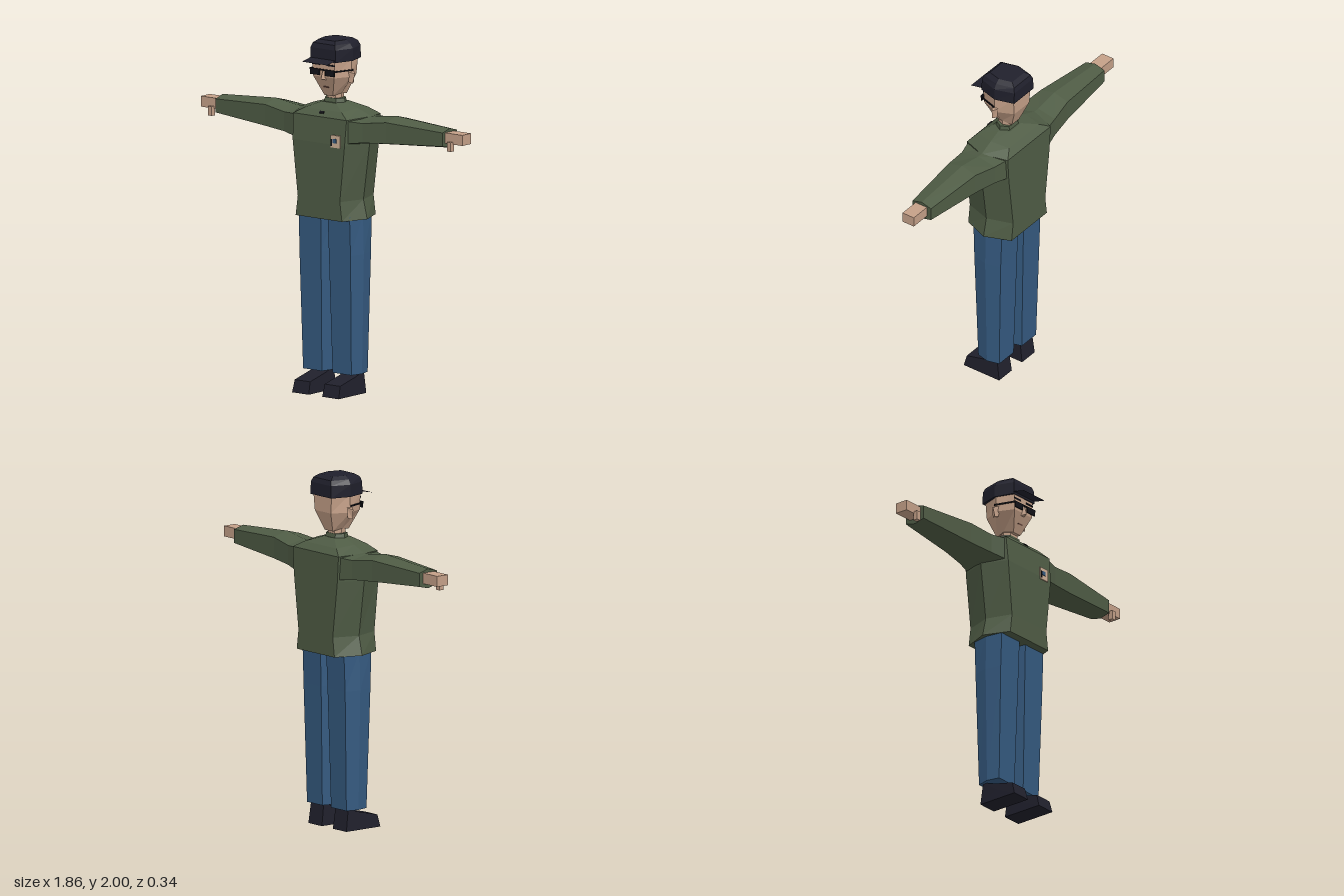
import * as THREE from 'three';

const mat = (name, color) => {
  const m = new THREE.MeshStandardMaterial({ color });
  m.name = name;
  return m;
};

// Closed faceted solid through a list of rings with equal point counts
function loft(rings) {
  const tris = [];
  const n = rings[0].length;
  const centre = (r) => r.reduce((c, p) => c.map((v, i) => v + p[i] / n), [0, 0, 0]);
  const first = rings[0], last = rings[rings.length - 1];
  const c0 = centre(first), c1 = centre(last);
  for (let i = 0; i < n; i++) {
    const j = (i + 1) % n;
    tris.push([c0, first[j], first[i]], [c1, last[i], last[j]]);
    for (let k = 0; k + 1 < rings.length; k++) {
      const a = rings[k], b = rings[k + 1];
      tris.push([a[i], a[j], b[j]], [a[i], b[j], b[i]]);
    }
  }
  // Turn every face outward, whichever way the rings run
  let volume = 0;
  for (const [a, b, c] of tris) {
    volume += new THREE.Vector3(...a).dot(new THREE.Vector3(...b).cross(new THREE.Vector3(...c)));
  }
  if (volume < 0) tris.forEach((t) => t.reverse());
  const geo = new THREE.BufferGeometry();
  geo.setAttribute('position', new THREE.Float32BufferAttribute(tris.flat(2), 3));
  geo.computeVertexNormals();
  return geo;
}

// Horizontal hexagon: flat front and back, a corner on each side
function hex(y, zFront, zBack, wFront, wSide, wBack, x = 0, ySide = y) {
  const zm = (zFront + zBack) / 2;
  return [
    [x + wFront, y, zFront], [x + wSide, ySide, zm], [x + wBack, y, zBack],
    [x - wBack, y, zBack], [x - wSide, ySide, zm], [x - wFront, y, zFront],
  ];
}

export function createModel() {
  const root = new THREE.Group();
  root.name = 'standingMan';
  const green = mat('sweaterGreen', 0x4f5c45);
  const denim = mat('denimBlue', 0x355a80);
  const skin = mat('skin', 0xc4a088);
  const navy = mat('darkNavy', 0x20202c);
  const black = mat('black', 0x121218);
  const beige = mat('patchBeige', 0xcdb096);
  const lip = mat('lipBrown', 0x6b4a40);
  const visorMat = mat('visorNavy', 0x20202c);
  visorMat.side = THREE.DoubleSide;

  const add = (name, geo, material) => {
    const m = new THREE.Mesh(geo, material);
    m.name = name;
    root.add(m);
    return m;
  };
  const box = (name, material, size, pos) => {
    const m = add(name, new THREE.BoxGeometry(...size), material);
    m.position.set(...pos);
    return m;
  };

  // Sweater body and collar
  add('sweaterBody', loft([
    hex(1.0, 0.13, -0.17, 0.165, 0.225, 0.165),
    hex(1.11, 0.13, -0.17, 0.15, 0.198, 0.15),
    hex(1.43, 0.132, -0.17, 0.185, 0.243, 0.19),
    hex(1.575, 0.12, -0.17, 0.19, 0.25, 0.2, 0, 1.585),
    hex(1.61, 0.09, -0.135, 0.13, 0.16, 0.14, 0, 1.62),
    hex(1.645, 0.04, -0.075, 0.05, 0.075, 0.05),
  ]), green);
  add('collar', loft([
    hex(1.62, 0.035, -0.07, 0.045, 0.075, 0.045),
    hex(1.668, 0.025, -0.06, 0.04, 0.066, 0.04),
  ]), green);

  // Collar button and plain chest patch
  box('collarButton', black, [0.03, 0.014, 0.008], [0, 1.597, 0.103]).rotation.x = -0.7;
  box('chestPatch', beige, [0.066, 0.07, 0.008], [0.123, 1.45, 0.134]);
  box('patchCentre', denim, [0.026, 0.024, 0.004], [0.118, 1.453, 0.139]);
  box('patchEdge', black, [0.008, 0.04, 0.004], [0.098, 1.443, 0.139]);

  for (const s of [1, -1]) {
    const side = s > 0 ? 'left' : 'right';

    // Sleeve: x, top ridge, upper edge, lower edge, bottom ridge, front, back
    const sleeve = [
      [0.17, 1.585, 1.57, 1.44, 1.43, 0.118, -0.165],
      [0.28, 1.588, 1.565, 1.455, 1.435, 0.09, -0.14],
      [0.43, 1.61, 1.585, 1.465, 1.447, 0.07, -0.117],
      [0.81, 1.585, 1.567, 1.49, 1.475, 0.038, -0.09],
    ].map(([x, t, u, l, b, f, k]) => {
      const m = (f + k) / 2;
      return [[t, m], [u, f], [l, f], [b, m], [l, k], [u, k]].map(([y, z]) => [s * x, y, z]);
    });
    add(side + 'Sleeve', loft(sleeve), green);

    // Hand and thumb
    box(side + 'Hand', skin, [0.14, 0.06, 0.078], [s * 0.862, 1.535, -0.023]);
    box(side + 'Thumb', skin, [0.028, 0.052, 0.028], [s * 0.852, 1.492, 0.023]);

    // Trouser leg
    add(side + 'TrouserLeg', loft([
      hex(0.12, 0.055, -0.09, 0.067, 0.085, 0.067, s * 0.105),
      hex(0.8, 0.075, -0.107, 0.077, 0.099, 0.077, s * 0.105),
      hex(1.02, 0.082, -0.115, 0.078, 0.095, 0.078, s * 0.103),
    ]), denim);

    // Shoe: side profile, slightly wider at the sole
    const shoeProfile = [[0.16, 0], [0.142, 0.07], [0, 0.104], [-0.068, 0.13], [-0.085, 0]];
    add(side + 'Shoe', loft([-1, 1].map((e) => shoeProfile.map(
      ([z, y]) => [s * 0.107 + e * (y ? 0.055 : 0.059), y, z]))), navy);

    // Ear, brow, lens and glasses arm
    add(side + 'Ear', loft([
      [[0.105, 1.765, -0.005], [0.13, 1.758, -0.01], [0.118, 1.765, -0.035]],
      [[0.105, 1.825, 0.005], [0.142, 1.815, -0.015], [0.115, 1.825, -0.04]],
    ].map((r) => r.map(([x, y, z]) => [s * x, y, z]))), skin);
    box(side + 'Brow', black, [0.055, 0.009, 0.006], [s * 0.052, 1.865, 0.088]);
    box(side + 'Lens', black, [0.066, 0.034, 0.006], [s * 0.053, 1.822, 0.098]);
    const arm = box(side + 'GlassesArm', black, [0.006, 0.008, 0.125], [s * 0.107, 1.834, 0.04]);
    arm.rotation.y = -s * 0.3;
  }
  box('glassesBridge', black, [0.18, 0.008, 0.006], [0, 1.837, 0.098]);

  // Neck and head
  add('neck', loft([
    hex(1.62, 0.02, -0.055, 0.03, 0.044, 0.03),
    hex(1.72, 0.02, -0.06, 0.03, 0.044, 0.03),
  ]), skin);
  add('head', loft([
    hex(1.683, 0.042, -0.075, 0.03, 0.047, 0.035, 0, 1.695),
    hex(1.795, 0.087, -0.118, 0.075, 0.117, 0.07),
    hex(1.9, 0.088, -0.12, 0.08, 0.114, 0.08),
  ]), skin);
  add('nose', loft([
    [[-0.017, 1.778, 0.075], [0.017, 1.778, 0.075], [0, 1.785, 0.112]],
    [[-0.008, 1.835, 0.08], [0.008, 1.835, 0.08], [0, 1.835, 0.094]],
  ]), skin);
  box('mouth', lip, [0.036, 0.007, 0.006], [0, 1.735, 0.064]).rotation.x = 0.38;

  // Cap crown and visor
  add('capCrown', loft([
    hex(1.885, 0.093, -0.132, 0.09, 0.122, 0.09),
    hex(1.955, 0.093, -0.132, 0.088, 0.124, 0.088),
    hex(1.982, 0.085, -0.122, 0.078, 0.105, 0.078),
    hex(2.0, 0.06, -0.095, 0.058, 0.078, 0.058),
  ]), navy);
  const visor = new THREE.PlaneGeometry(0.18, 0.085);
  visor.rotateX(-Math.PI / 2 + 0.2);
  visor.translate(0, 1.891, 0.125);
  add('capVisor', visor, visorMat);

  return root;
}
